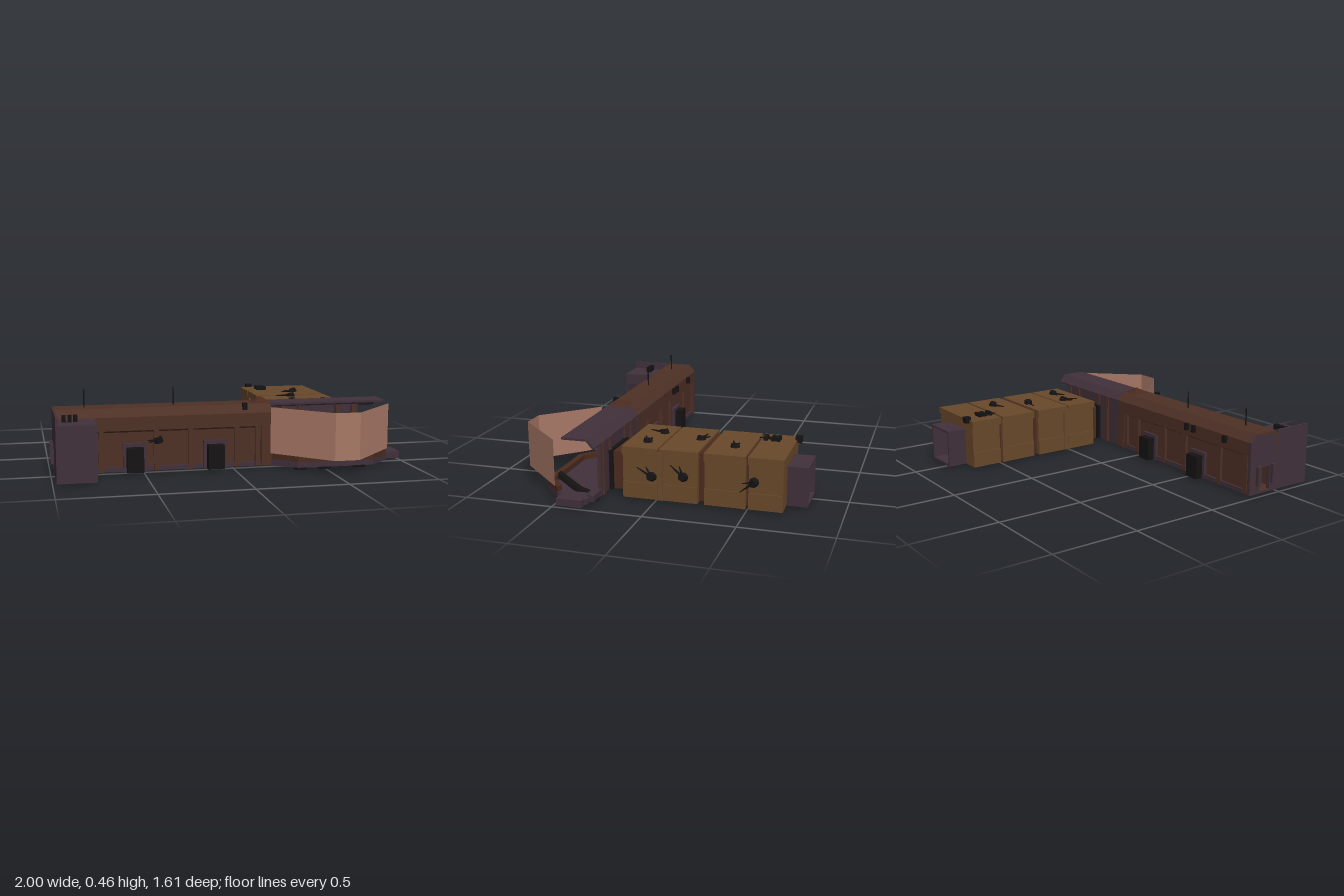
import * as THREE from 'three';

const mat = (color) => new THREE.MeshStandardMaterial({ color, flatShading: true, side: THREE.DoubleSide });
const RUST = mat(0x4e3026), PLUM = mat(0x41303a), TAN = mat(0x69482b), BROWN = mat(0x4a2a1e);
const BLACK = mat(0x151313), GLASS = mat(0xa87866);

function add(parent, name, geometry, material) {
  const mesh = new THREE.Mesh(geometry, material);
  mesh.name = name;
  parent.add(mesh);
  return mesh;
}

// Box given by its limits on each axis
function box(parent, name, [x0, x1], [y0, y1], [z0, z1], material) {
  const mesh = add(parent, name, new THREE.BoxGeometry(x1 - x0, y1 - y0, z1 - z0), material);
  mesh.position.set((x0 + x1) / 2, (y0 + y1) / 2, (z0 + z1) / 2);
  return mesh;
}

// Extrudes a [z, y] cross-section, with optional hole, along x
function sectionX(parent, name, points, x0, x1, material, hole) {
  const vec = (list) => list.map(([z, y]) => new THREE.Vector2(-z, y));
  const shape = new THREE.Shape(vec(points));
  if (hole) shape.holes.push(new THREE.Path(vec(hole)));
  const geometry = new THREE.ExtrudeGeometry(shape, { depth: x1 - x0, bevelEnabled: false });
  geometry.rotateY(Math.PI / 2).translate(x0, 0, 0);
  return add(parent, name, geometry, material);
}

// Extrudes an [x, z] outline between two heights
function slab(parent, name, points, y0, y1, material) {
  const shape = new THREE.Shape(points.map(([x, z]) => new THREE.Vector2(x, z)));
  const geometry = new THREE.ExtrudeGeometry(shape, { depth: y1 - y0, bevelEnabled: false });
  geometry.rotateX(Math.PI / 2).translate(0, y1, 0);
  return add(parent, name, geometry, material);
}

// Dark lump with two thin branches
function clump(parent, x, y, z, turn, onWall) {
  const group = new THREE.Group();
  group.name = 'debrisClump';
  const body = add(group, 'lump', new THREE.CylinderGeometry(0.022, 0.028, 0.03, 7), BLACK);
  body.rotation.z = 0.25;
  for (const [angle, length] of [[0.25, 0.09], [-0.3, 0.06]]) {
    const twig = add(group, 'branch', new THREE.CylinderGeometry(0.003, 0.008, length, 5), BLACK);
    twig.rotation.set(0, angle, Math.PI / 2, 'YXZ');
    twig.position.set(-Math.cos(angle) * length / 2, 0, Math.sin(angle) * length / 2);
  }
  group.rotation.set(0, turn, onWall ? -Math.PI / 2 : 0, 'ZYX');
  group.position.set(x, y, z);
  parent.add(group);
}

function buildCorridor(root) {
  const g = new THREE.Group();
  g.name = 'corridor';
  root.add(g);
  // Hollow tube with a wider, chamfered top
  const outer = [[0.305, 0.01], [0.495, 0.01], [0.495, 0.225], [0.51, 0.235], [0.51, 0.31],
    [0.475, 0.355], [0.33, 0.355], [0.29, 0.31], [0.29, 0.235], [0.305, 0.225]];
  const inner = [[0.318, 0.022], [0.482, 0.022], [0.482, 0.3], [0.46, 0.34], [0.345, 0.34], [0.318, 0.3]];
  sectionX(g, 'corridorShell', outer, -0.98, 0.22, RUST, inner);
  // Bulkheads with a doorway
  const door = [[0.365, 0.022], [0.44, 0.022], [0.44, 0.16], [0.365, 0.16]];
  const full = [[0.29, 0.01], [0.51, 0.01], [0.51, 0.31], [0.475, 0.355], [0.33, 0.355], [0.29, 0.31]];
  sectionX(g, 'endBulkhead', full, -0.98, -0.96, PLUM, door);
  sectionX(g, 'innerBulkhead', full, 0.16, 0.22, RUST, door);
  // Raised cap over the inner bulkhead
  const cap = add(g, 'roofCap', new THREE.ConeGeometry(0.095, 0.04, 4), BROWN);
  cap.rotation.y = Math.PI / 4;
  cap.position.set(0.18, 0.367, 0.405);

  for (const side of [-1, 1]) {
    const face = 0.4 + side * 0.095;
    const span = (a, b) => [Math.min(face + side * a, face + side * b), Math.max(face + side * a, face + side * b)];
    // Pilasters and skirting
    for (const x of [-0.94, -0.73, -0.43, -0.24, 0.02, 0.14])
      box(g, 'pilaster', [x - 0.014, x + 0.014], [0.01, 0.235], span(-0.005, 0.015), RUST);
    box(g, 'skirting', [-0.98, 0.22], [0.01, 0.035], span(-0.005, 0.012), PLUM);
    // Door alcoves
    for (const x of [-0.55, -0.105]) {
      box(g, 'doorAlcove', [x - 0.045, x + 0.045], [0.01, 0.145], span(-0.01, 0.062), BLACK);
      for (const s of [-1, 1])
        box(g, 'doorJamb', [x + s * 0.053 - 0.01, x + s * 0.053 + 0.01], [0.01, 0.165], span(-0.005, 0.018), PLUM);
      box(g, 'doorLintel', [x - 0.063, x + 0.063], [0.145, 0.165], span(-0.005, 0.018), PLUM);
    }
  }
  // Vent plate on the end wall
  box(g, 'endPlate', [-1, -0.975], [0.06, 0.17], [0.335, 0.36], PLUM);
  box(g, 'endPlate', [-1, -0.975], [0.06, 0.17], [0.445, 0.47], PLUM);
  // Roof masts and small roof fittings
  for (const x of [-0.81, -0.32]) {
    const mast = add(g, 'mast', new THREE.CylinderGeometry(0.004, 0.004, 0.11, 6), BLACK);
    mast.position.set(x, 0.4, 0.41);
  }
  box(g, 'roofFitting', [0.055, 0.08], [0.325, 0.365], [0.475, 0.5], BLACK);
  for (const x of [-0.78, -0.52, -0.46])
    box(g, 'rearFitting', [x - 0.012, x + 0.012], [0.27, 0.31], [0.27, 0.31], BLACK);
  clump(g, -0.42, 0.18, 0.505, 0.6);
}

function buildAnnex(root) {
  const g = new THREE.Group();
  g.name = 'annex';
  root.add(g);
  const x = [-0.98, -0.77];
  box(g, 'annexFloor', x, [0.01, 0.025], [0.49, 0.73], PLUM);
  box(g, 'annexRoof', x, [0.298, 0.31], [0.5, 0.73], PLUM);
  box(g, 'annexFrontWall', x, [0.01, 0.31], [0.718, 0.73], PLUM);
  box(g, 'annexOuterWall', [-0.98, -0.968], [0.01, 0.355], [0.49, 0.73], PLUM);
  box(g, 'annexInnerWall', [-0.782, -0.77], [0.01, 0.31], [0.5, 0.58], PLUM);
  box(g, 'annexInnerLintel', [-0.782, -0.77], [0.24, 0.31], [0.58, 0.72], PLUM);
  for (const px of [-0.93, -0.9, -0.87])
    box(g, 'annexFitting', [px - 0.01, px + 0.01], [0.305, 0.345], [0.58, 0.61], BLACK);
}

function buildBay(root) {
  const g = new THREE.Group();
  g.name = 'observationBay';
  root.add(g);
  // Floor, low sill and end step
  slab(g, 'bayFloor', [[0.2, 0.3], [0.9, 0.3], [0.9, 0.51], [0.78, 0.62], [0.34, 0.62], [0.22, 0.51]], 0.01, 0.045, PLUM);
  const rim = [[0.22, 0.51], [0.34, 0.62], [0.78, 0.62], [0.9, 0.51], [0.86, 0.5], [0.77, 0.585], [0.35, 0.585], [0.26, 0.5]];
  slab(g, 'baySill', rim, 0.04, 0.075, BROWN);
  box(g, 'endStep', [0.88, 1], [0.01, 0.05], [0.33, 0.475], PLUM);
  box(g, 'stepLip', [0.93, 0.97], [0.02, 0.05], [0.31, 0.335], PLUM);
  // Rear wall and overhanging roof
  box(g, 'bayRearWall', [0.2, 0.8], [0.01, 0.31], [0.295, 0.31], PLUM);
  const roof = [[0.29, 0.3], [0.29, 0.31], [0.33, 0.355], [0.475, 0.355], [0.475, 0.343], [0.335, 0.343], [0.3, 0.3]];
  sectionX(g, 'bayRoof', roof, 0.2, 0.9, PLUM);
  for (const x of [0.34, 0.44, 0.67, 0.77])
    box(g, 'rearPilaster', [x - 0.012, x + 0.012], [0.01, 0.31], [0.285, 0.325], RUST);
  // Sloping brace at the open end
  sectionX(g, 'slopingBrace', [[0.52, 0.11], [0.52, 0.14], [0.4, 0.06], [0.3, 0.03], [0.3, 0], [0.36, 0]], 0.82, 0.86, BLACK);
  // Feet under the floor
  for (const x of [0.36, 0.5, 0.7])
    box(g, 'foot', [x - 0.03, x + 0.03], [0, 0.012], [0.56, 0.625], BLACK);
  // Three tall window panes
  const rail = [[0.21, 0.52], [0.49, 0.8], [0.63, 0.8], [0.905, 0.52]];
  for (let i = 0; i < 3; i++) {
    const [[ax, az], [bx, bz]] = [rail[i], rail[i + 1]];
    const pane = add(g, 'windowPane', new THREE.PlaneGeometry(Math.hypot(bx - ax, bz - az), 0.26), GLASS);
    pane.position.set((ax + bx) / 2, 0.21, (az + bz) / 2);
    pane.rotation.y = -Math.atan2(bz - az, bx - ax);
  }
}

function buildWing(root) {
  const g = new THREE.Group();
  g.name = 'rearWing';
  root.add(g);
  // Four modules with overhanging cornices
  for (const [z0, z1] of [[-0.015, 0.185], [-0.238, -0.025], [-0.49, -0.268], [-0.695, -0.505]]) {
    box(g, 'moduleBody', [0.35, 0.77], [0.01, 0.26], [z0 + 0.004, z1 - 0.004], TAN);
    box(g, 'moduleCornice', [0.337, 0.778], [0.255, 0.295], [z0, z1], TAN);
    box(g, 'modulePlinth', [0.342, 0.776], [0.01, 0.1], [z0 + 0.004, z1 - 0.004], TAN);
  }
  // Recessed joints with pillars
  for (const z of [-0.02, -0.253, -0.4975])
    box(g, 'joint', [0.37, 0.75], [0.02, 0.285], [z - 0.017, z + 0.017], BROWN);
  for (const z of [-0.03, -0.48])
    for (const x of [0.35, 0.77])
      box(g, 'pillar', [x - 0.011, x + 0.011], [0.01, 0.275], [z - 0.015, z + 0.015], TAN);
  // Link to the corridor and open-ended tail
  box(g, 'link', [0.445, 0.665], [0.01, 0.225], [0.18, 0.3], BROWN);
  box(g, 'linkFrame', [0.425, 0.685], [0.01, 0.235], [0.275, 0.295], BLACK);
  const z = [-0.805, -0.69];
  box(g, 'tailFloor', [0.445, 0.665], [0.01, 0.022], z, PLUM);
  box(g, 'tailRoof', [0.445, 0.665], [0.215, 0.227], z, PLUM);
  for (const x of [0.445, 0.653]) box(g, 'tailWall', [x, x + 0.012], [0.01, 0.227], z, PLUM);

  // Dark debris on the roof and flanks
  for (const [x, pz, turn] of [[0.44, -0.58, 1.2], [0.62, -0.4, 0.1], [0.54, -0.19, -0.4],
    [0.48, 0.04, 1], [0.66, 0.075, 0.2]]) clump(g, x, 0.3, pz, turn);
  for (const [y, pz, turn] of [[0.14, 0.02, 0.8], [0.155, -0.155, 0.6], [0.16, -0.535, 2]])
    clump(g, 0.78, y, pz, turn, true);
  box(g, 'roofBlock', [0.375, 0.415], [0.28, 0.315], [-0.72, -0.685], BLACK);
  for (const pz of [-0.53, -0.57, -0.6])
    box(g, 'roofBlock', [0.41, 0.47], [0.29, 0.315], [pz - 0.01, pz + 0.01], BLACK);
}

export function createModel() {
  const root = new THREE.Group();
  root.name = 'outpost';
  buildCorridor(root);
  buildAnnex(root);
  buildBay(root);
  buildWing(root);
  return root;
}
